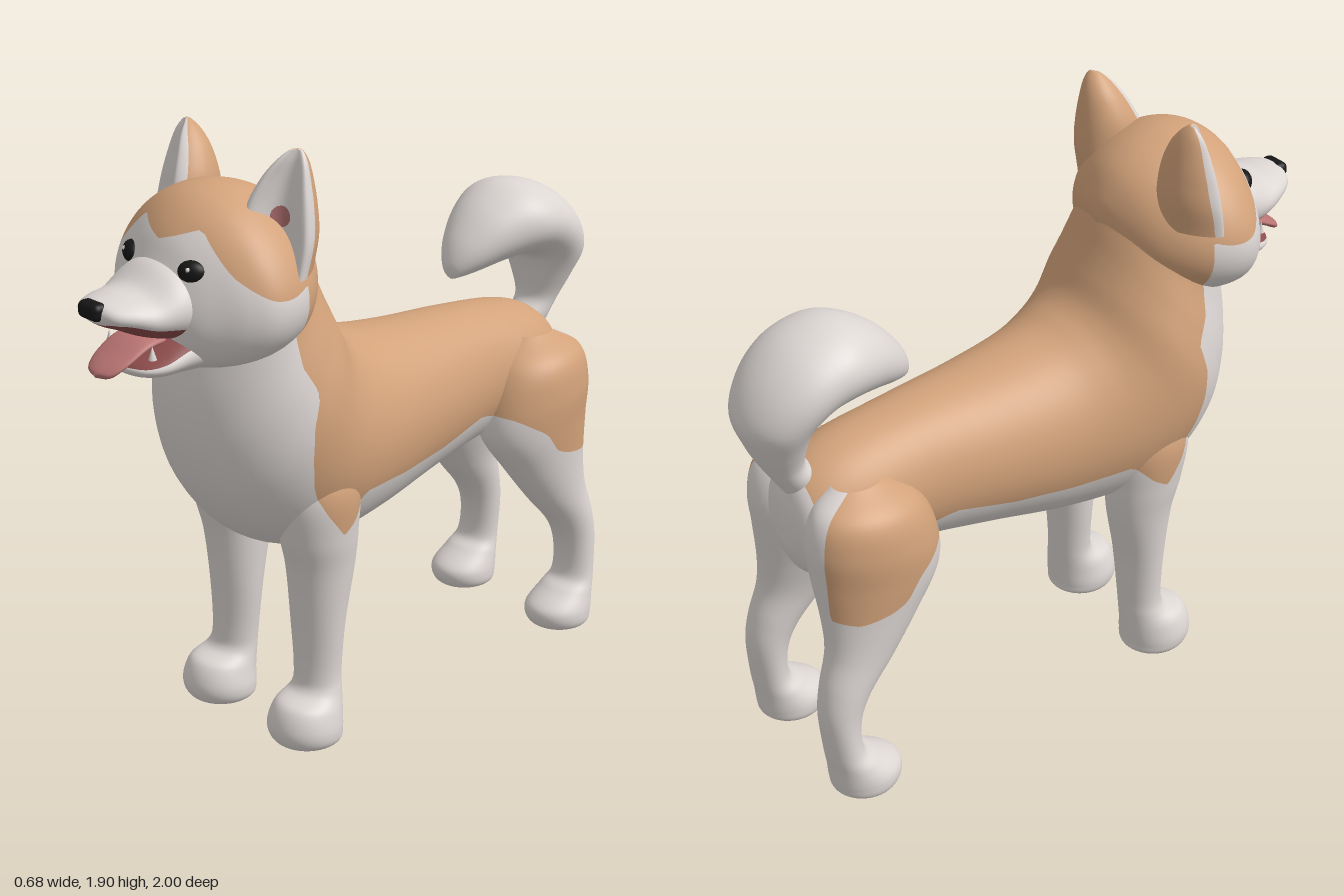
import * as THREE from 'three';
import { RoundedBoxGeometry } from 'three/addons/geometries/RoundedBoxGeometry.js';

const mat = (name, color) => new THREE.MeshStandardMaterial({ name, color });

// Smooth skin through rings [z1, y1, z2, y2, halfWidth, centreX]: each ring is an
// ellipse spanning two points of the side profile. egg widens its lower half,
// dent hollows the side of the second point.
function loft(rings, { egg = 0, dent = 0, around = 56, steps = 8 } = {}) {
  const curve = (f) => new THREE.CatmullRomCurve3(rings.map(f), false, 'catmullrom', 0.5);
  const first = curve((r) => new THREE.Vector3(0, r[1], r[0]));
  const second = curve((r) => new THREE.Vector3(0, r[3], r[2]));
  const width = curve((r) => new THREE.Vector3(r[4], r[5] ?? 0, 0));
  const n = (rings.length - 1) * steps;
  const pos = [], index = [];
  for (let i = 0; i <= n; i++) {
    const a = first.getPoint(i / n), b = second.getPoint(i / n), w = width.getPoint(i / n);
    for (let j = 0; j < around; j++) {
      const t = (j / around) * Math.PI * 2, c = Math.cos(t);
      const u = c < 0 ? c * (1 - dent * c * c) : c;
      pos.push(w.y + Math.max(w.x, 0) * Math.sin(t) * (1 - egg * c),
        (a.y + b.y) / 2 + (u * (a.y - b.y)) / 2, (a.z + b.z) / 2 + (u * (a.z - b.z)) / 2);
      if (i < n) {
        const p = i * around + j, q = i * around + ((j + 1) % around);
        index.push(p, p + around, q, q, p + around, q + around);
      }
    }
  }
  const geo = new THREE.BufferGeometry();
  geo.setAttribute('position', new THREE.Float32BufferAttribute(pos, 3));
  geo.setIndex(index);
  geo.computeVertexNormals();
  return geo;
}

// Cuts a geometry along rule(p, normal) = 0; returns [positive part, negative part].
function split(source, rule) {
  const geo = source.index ? source.toNonIndexed() : source;
  const P = geo.attributes.position, N = geo.attributes.normal;
  return [1, -1].map((sign) => {
    const pos = [], nor = [];
    for (let i = 0; i < P.count; i += 3) {
      const tri = [0, 1, 2].map((k) => {
        const p = new THREE.Vector3().fromBufferAttribute(P, i + k);
        const n = new THREE.Vector3().fromBufferAttribute(N, i + k);
        return { p, n, f: sign * (rule(p, n) + 1e-7) };
      });
      const poly = [];
      tri.forEach((a, k) => {
        const b = tri[(k + 1) % 3];
        if (a.f >= 0) poly.push(a);
        if (a.f >= 0 !== b.f >= 0) {
          const t = a.f / (a.f - b.f);
          poly.push({ p: a.p.clone().lerp(b.p, t), n: a.n.clone().lerp(b.n, t).normalize() });
        }
      });
      for (let k = 1; k + 1 < poly.length; k++)
        for (const v of [poly[0], poly[k], poly[k + 1]]) {
          pos.push(v.p.x, v.p.y, v.p.z);
          nor.push(v.n.x, v.n.y, v.n.z);
        }
    }
    const out = new THREE.BufferGeometry();
    out.setAttribute('position', new THREE.Float32BufferAttribute(pos, 3));
    out.setAttribute('normal', new THREE.Float32BufferAttribute(nor, 3));
    return out;
  });
}

// Piecewise linear lookup
function lookup(table, v) {
  const i = table.findIndex((e) => e[0] > v);
  if (i === 0) return table[0][1];
  if (i < 0) return table[table.length - 1][1];
  const [a, b] = [table[i - 1], table[i]];
  return a[1] + ((b[1] - a[1]) * (v - a[0])) / (b[0] - a[0]);
}

// Borders of the tan coat: chest edge z(y), belly edge y(z), brow edge y(|x|)
const chestEdge = [[0.6, 0.25], [0.72, 0.32], [0.8, 0.38], [0.9, 0.43], [1, 0.45], [1.1, 0.45], [1.2, 0.42], [1.28, 0.46], [1.6, 0.48]];
const bellyEdge = [[-0.9, 0.68], [-0.8, 0.66], [-0.7, 0.68], [-0.65, 0.7], [-0.6, 0.77], [-0.5, 0.83], [-0.4, 0.86],
  [-0.2, 0.82], [0, 0.81], [0.2, 0.82], [0.27, 0.75], [0.32, 0.72], [0.45, 0.7]];
const browEdge = [[0, 1.66], [0.05, 1.675], [0.12, 1.7], [0.17, 1.655], [0.24, 1.59], [0.31, 1.54], [0.36, 1.5]];
const coat = (p) => Math.min(lookup(chestEdge, p.y) - p.z, p.y - lookup(bellyEdge, p.z));

export function createModel() {
  const white = mat('white fur', 0xdcd6d3), tan = mat('tan fur', 0xd2a27a), black = mat('black', 0x161616);
  const tongueRed = mat('tongue red', 0xb87472), mouthRed = mat('mouth red', 0x8c4c4b), earPink = mat('ear pink', 0xab6c6c);
  const model = new THREE.Group();
  model.name = 'dog';

  const add = (parent, name, geo, material) => {
    const mesh = new THREE.Mesh(geo, material);
    mesh.name = name;
    parent.add(mesh);
    return mesh;
  };
  const addSplit = (parent, name, geo, rule, inside, outside) => {
    const [a, b] = split(geo, rule);
    add(parent, name + 'Marking', a, inside);
    add(parent, name, b, outside);
  };

  // Torso and neck, from rump to nape
  const torso = loft([
    [-0.885, 0.91, -0.885, 0.89, 0], [-0.872, 1.0, -0.875, 0.8, 0.09], [-0.83, 1.075, -0.83, 0.72, 0.15],
    [-0.7, 1.135, -0.72, 0.7, 0.19], [-0.45, 1.17, -0.5, 0.71, 0.2], [-0.2, 1.19, -0.25, 0.67, 0.235],
    [0, 1.22, 0.05, 0.61, 0.275], [0.1, 1.26, 0.3, 0.6, 0.31], [0.16, 1.31, 0.48, 0.68, 0.33],
    [0.2, 1.39, 0.6, 0.82, 0.335], [0.23, 1.46, 0.66, 0.98, 0.31], [0.26, 1.54, 0.675, 1.14, 0.275],
    [0.3, 1.62, 0.655, 1.28, 0.25], [0.42, 1.65, 0.62, 1.4, 0.2], [0.5, 1.55, 0.56, 1.48, 0],
  ], { around: 72 });
  addSplit(model, 'torso', torso, (p) => Math.min(coat(p), p.z + 0.835), tan, white);

  // Curled tail
  add(model, 'tail', loft([
    [-0.85, 0.98, -0.74, 1.05, 0.05], [-0.88, 1.03, -0.77, 1.08, 0.065], [-0.93, 1.11, -0.805, 1.12, 0.075],
    [-0.975, 1.2, -0.8, 1.19, 0.11], [-1, 1.3, -0.785, 1.255, 0.15], [-0.94, 1.42, -0.765, 1.28, 0.175],
    [-0.83, 1.51, -0.735, 1.292, 0.183], [-0.69, 1.54, -0.68, 1.295, 0.175], [-0.57, 1.49, -0.6, 1.285, 0.135],
    [-0.48, 1.4, -0.52, 1.27, 0.085], [-0.44, 1.32, -0.46, 1.262, 0.035], [-0.445, 1.27, -0.45, 1.262, 0],
  ]), white);

  // Head with tan cap
  const head = loft([
    [0.255, 1.56, 0.265, 1.5, 0], [0.27, 1.62, 0.29, 1.43, 0.11], [0.32, 1.7, 0.34, 1.36, 0.21],
    [0.4, 1.755, 0.43, 1.3, 0.29], [0.5, 1.785, 0.52, 1.275, 0.33], [0.59, 1.78, 0.6, 1.27, 0.33],
    [0.66, 1.745, 0.66, 1.275, 0.29], [0.72, 1.68, 0.71, 1.29, 0.225], [0.76, 1.6, 0.75, 1.33, 0.165],
    [0.785, 1.55, 0.77, 1.38, 0.1], [0.79, 1.5, 0.79, 1.45, 0],
  ], { egg: 0.2, around: 72 });
  addSplit(model, 'head', head, (p) => Math.max(p.y - lookup(browEdge, Math.abs(p.x)), 0.46 - p.z), tan, white);

  // Muzzle, lower jaw and tongue of the open mouth
  const muzzle = loft([
    [0.7, 1.62, 0.72, 1.37, 0.16], [0.77, 1.6, 0.78, 1.385, 0.16], [0.84, 1.552, 0.85, 1.41, 0.143],
    [0.91, 1.542, 0.91, 1.44, 0.118], [0.96, 1.533, 0.955, 1.46, 0.085], [0.98, 1.518, 0.975, 1.478, 0.045],
    [0.985, 1.5, 0.985, 1.495, 0],
  ], { egg: 0.1 });
  addSplit(model, 'muzzle', muzzle, (p, n) => Math.min(-n.y - 0.6, 0.965 - p.z), mouthRed, white);
  const jaw = loft([
    [0.68, 1.44, 0.68, 1.275, 0.17], [0.76, 1.41, 0.75, 1.28, 0.152], [0.82, 1.375, 0.82, 1.285, 0.137],
    [0.87, 1.35, 0.865, 1.295, 0.105], [0.892, 1.335, 0.89, 1.31, 0.06], [0.9, 1.325, 0.9, 1.32, 0],
  ]);
  addSplit(model, 'lowerJaw', jaw, (p, n) => n.y - 0.6, mouthRed, white);
  add(model, 'tongue', loft([
    [0.74, 1.41, 0.74, 1.37, 0.07], [0.84, 1.405, 0.83, 1.365, 0.078], [0.92, 1.365, 0.905, 1.335, 0.073],
    [0.965, 1.335, 0.95, 1.308, 0.05], [0.978, 1.318, 0.972, 1.31, 0],
  ]), tongueRed);

  add(model, 'nose', new RoundedBoxGeometry(0.09, 0.052, 0.05, 4, 0.02), black).position.set(0, 1.508, 0.972);

  // Paired parts, built on the left and mirrored
  for (const side of [1, -1]) {
    const half = new THREE.Group();
    half.name = side > 0 ? 'leftSide' : 'rightSide';
    half.scale.x = side;
    model.add(half);

    const frontLeg = loft([
      [0.42, 0.98, 0.26, 0.98, 0.06, 0.2], [0.46, 0.85, 0.19, 0.85, 0.115, 0.2], [0.44, 0.7, 0.19, 0.7, 0.115, 0.195],
      [0.41, 0.58, 0.2, 0.58, 0.105, 0.19], [0.39, 0.4, 0.235, 0.4, 0.092, 0.187], [0.385, 0.24, 0.25, 0.24, 0.08, 0.19],
      [0.4, 0.18, 0.255, 0.17, 0.085, 0.195], [0.47, 0.15, 0.26, 0.1, 0.105, 0.2], [0.498, 0.08, 0.265, 0.05, 0.118, 0.2],
      [0.48, 0.025, 0.27, 0.02, 0.105, 0.2], [0.42, 0.004, 0.32, 0.004, 0.05, 0.2], [0.37, 0, 0.37, 0, 0, 0.2],
    ]);
    addSplit(half, 'frontLeg', frontLeg, (p) => Math.min(coat(p), p.x - 0.2), tan, white);

    const hindLeg = loft([
      [-0.62, 1.06, -0.78, 1.06, 0.06, 0.13], [-0.52, 0.98, -0.86, 1.0, 0.125, 0.16], [-0.47, 0.86, -0.89, 0.9, 0.15, 0.163],
      [-0.47, 0.74, -0.882, 0.78, 0.142, 0.168], [-0.55, 0.62, -0.868, 0.64, 0.115, 0.185], [-0.65, 0.49, -0.87, 0.53, 0.092, 0.2],
      [-0.75, 0.375, -0.9, 0.42, 0.08, 0.21], [-0.79, 0.28, -0.915, 0.32, 0.075, 0.215], [-0.79, 0.18, -0.905, 0.18, 0.077, 0.22],
      [-0.74, 0.14, -0.895, 0.11, 0.092, 0.22], [-0.665, 0.085, -0.89, 0.05, 0.108, 0.22], [-0.675, 0.025, -0.88, 0.02, 0.1, 0.22],
      [-0.73, 0.004, -0.84, 0.004, 0.05, 0.22], [-0.78, 0, -0.78, 0, 0, 0.22],
    ]);
    addSplit(half, 'hindLeg', hindLeg, (p) => Math.min(coat(p), p.x - 0.15 + 0.4 * (p.z + 0.7)), tan, white);

    // Cupped ear turned outward, white inside with a pink spot
    const ear = new THREE.Group();
    ear.name = 'ear';
    ear.position.set(0.205, 0, 0.45);
    ear.rotation.y = 0.5;
    half.add(ear);
    const [inner, outer] = split(loft([
      [-0.1, 1.58, 0.18, 1.54, 0.09, 0], [-0.1, 1.68, 0.16, 1.63, 0.105, 0], [-0.09, 1.76, 0.13, 1.72, 0.1, 0],
      [-0.07, 1.83, 0.09, 1.8, 0.075, 0.012], [-0.045, 1.875, 0.05, 1.86, 0.047, 0.027],
      [-0.02, 1.9, 0.01, 1.895, 0.02, 0.037], [-0.01, 1.902, -0.005, 1.902, 0, 0.04],
    ], { dent: 1 }), (p, n) => n.z - 0.1);
    add(ear, 'earShell', outer, tan);
    addSplit(ear, 'innerEar', inner, (p) => 0.03 - Math.hypot(p.x, p.y - 1.715), earPink, white);

    // Eye with a small glint
    const eye = add(half, 'eye', new THREE.SphereGeometry(1, 24, 16), black);
    eye.scale.set(0.044, 0.034, 0.03);
    eye.position.set(0.13, 1.59, 0.722);
    eye.rotation.y = 0.5;
    add(half, 'eyeGlint', new THREE.SphereGeometry(0.007, 10, 8), white).position.set(0.138, 1.603, 0.746);

    // Lower tooth
    add(half, 'tooth', new THREE.ConeGeometry(0.012, 0.04, 10), white).position.set(0.095, 1.375, 0.845);
  }
  return model;
}
